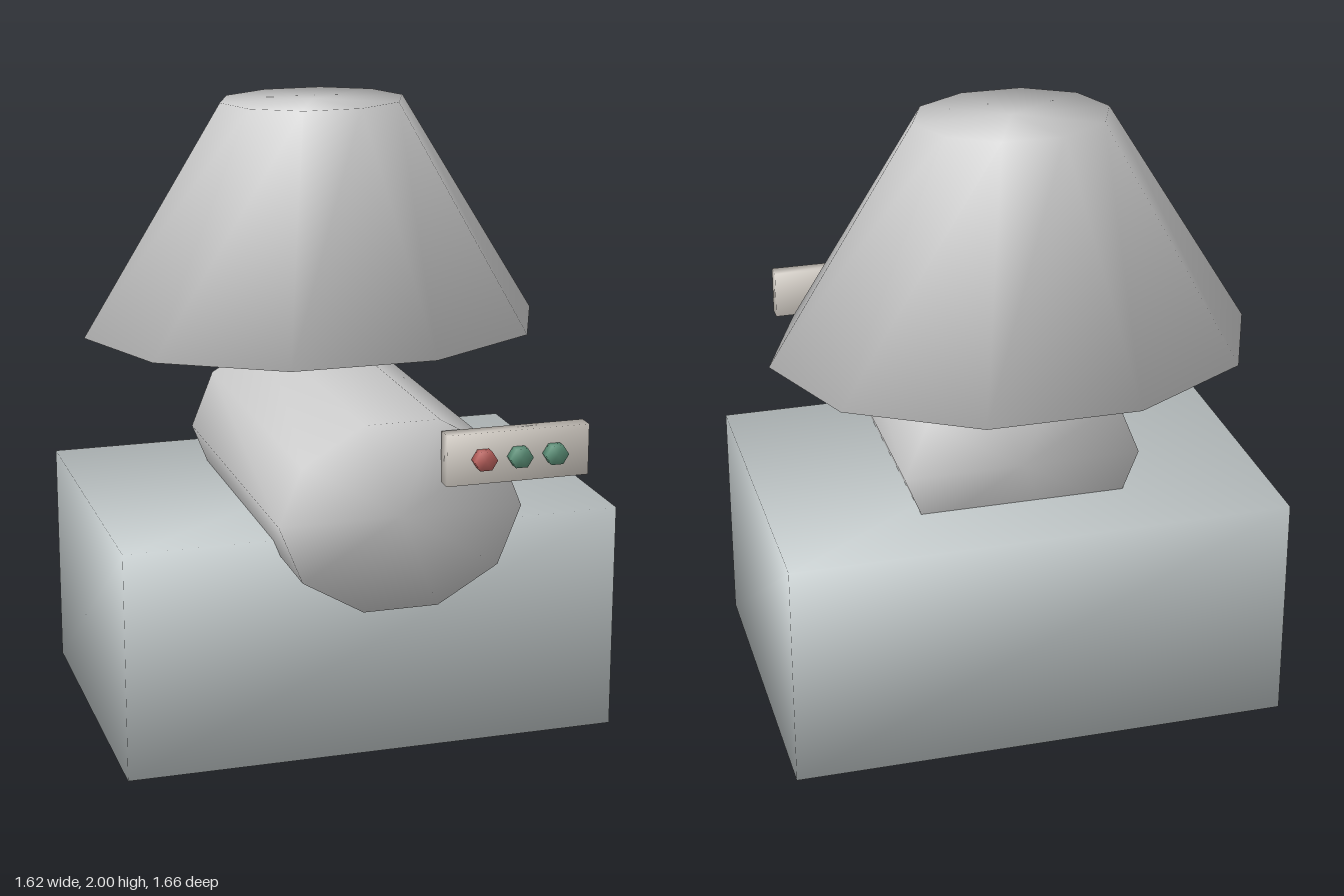
import * as THREE from 'three';
import { mergeVertices } from 'three/addons/utils/BufferGeometryUtils.js';

// Weld all corners so that shading runs smoothly over every edge
function weld(geometry) {
  geometry.deleteAttribute('uv');
  geometry.deleteAttribute('normal');
  const welded = mergeVertices(geometry);
  welded.computeVertexNormals();
  return welded;
}

function addPart(group, name, geometry, color, x, y, z) {
  const mesh = new THREE.Mesh(weld(geometry), new THREE.MeshStandardMaterial({ color }));
  mesh.name = name;
  mesh.position.set(x, y, z);
  group.add(mesh);
}

// Upright elliptical prism or frustum with corners on the x axis
function prism(rx, rz, height, sides, topRatio = 1) {
  return new THREE.CylinderGeometry(topRatio, 1, height, sides, 1, false, Math.PI / 2).scale(rx, 1, rz);
}

export function createModel() {
  const group = new THREE.Group();
  const grey = 0xcccccc;

  // Base block
  addPart(group, 'base', new THREE.BoxGeometry(1.62, 0.75, 1.125), 0xc2c9ca, 0, 0.375, -0.08);

  // Ten-sided barrel lying along z, sunk into the base
  const barrel = prism(0.385, 0.312, 1.12, 10).rotateX(Math.PI / 2);
  addPart(group, 'barrel', barrel, grey, 0, 0.878, 0.175);

  // Tapered hood floating above
  addPart(group, 'hood', prism(0.775, 0.624, 0.75, 10, 0.4), grey, 0, 1.625, -0.237);

  // Control panel in front of the barrel
  addPart(group, 'controlPanel', new THREE.BoxGeometry(0.455, 0.16, 0.055), 0xd4cec6, 0.348, 1.06, 0.772);

  // Hexagonal buttons: one red, two green
  [['redButton', 0xb8605c], ['greenButton1', 0x5c9078], ['greenButton2', 0x5c9078]].forEach(([name, color], i) => {
    const button = prism(0.037, 0.034, 0.034, 6).rotateX(Math.PI / 2);
    addPart(group, name, button, color, 0.234 + i * 0.114, 1.06, 0.815);
  });

  return group;
}
